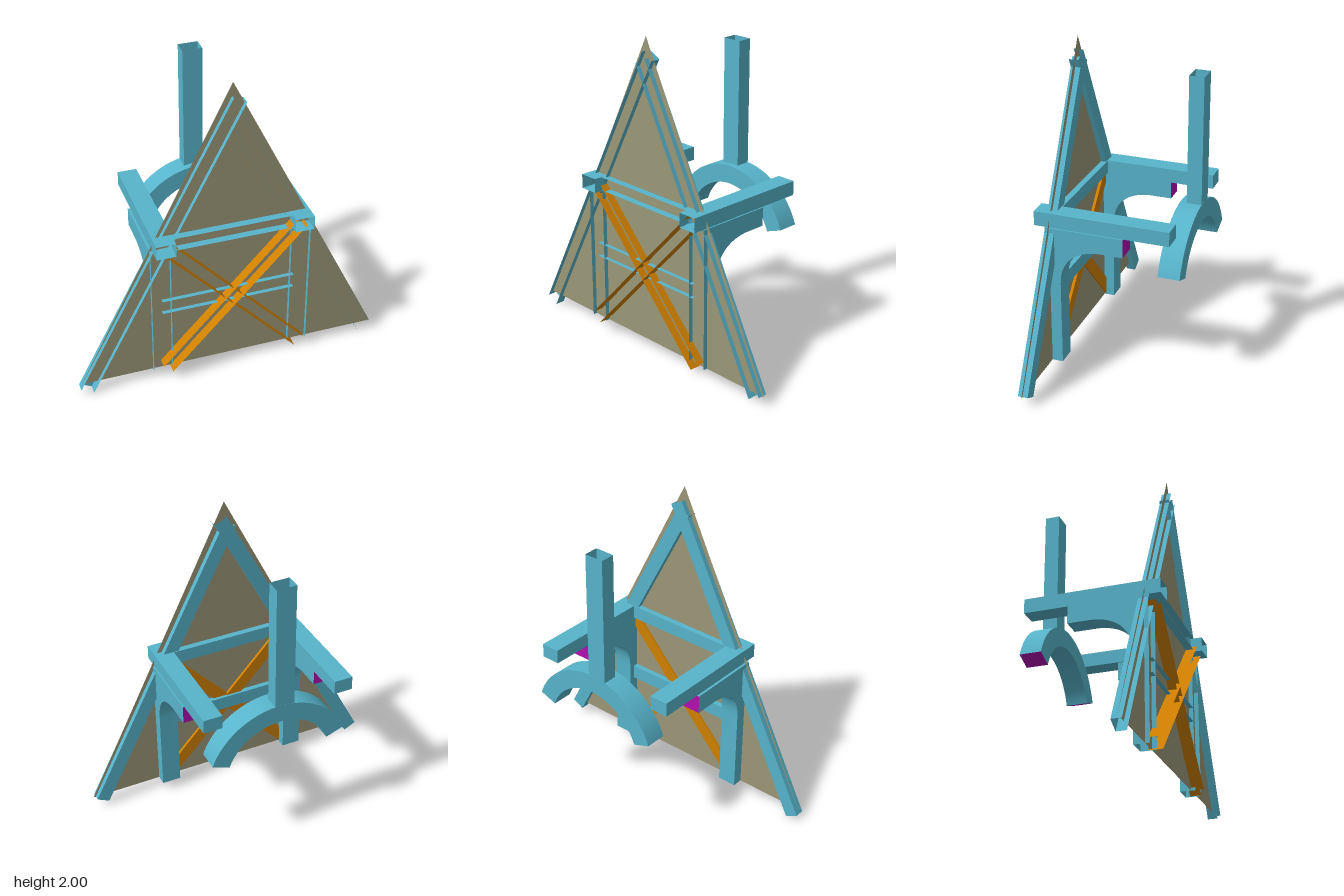
import * as THREE from 'three';
import { toCreasedNormals } from 'three/addons/utils/BufferGeometryUtils.js';

const paint = (color) => new THREE.MeshStandardMaterial({ color, side: THREE.DoubleSide });

// Keep only the triangles for which keep(normal, centre) is true
function filterFaces(geometry, keep) {
  const geo = geometry.index ? geometry.toNonIndexed() : geometry;
  const pos = geo.attributes.position, out = [];
  const tri = new THREE.Triangle(), n = new THREE.Vector3(), c = new THREE.Vector3();
  for (let i = 0; i < pos.count; i += 3) {
    tri.setFromAttributeAndIndices(pos, i, i + 1, i + 2);
    tri.getNormal(n);
    tri.getMidpoint(c);
    if (keep(n, c)) for (const p of [tri.a, tri.b, tri.c]) out.push(p.x, p.y, p.z);
  }
  const result = new THREE.BufferGeometry();
  result.setAttribute('position', new THREE.Float32BufferAttribute(out, 3));
  return toCreasedNormals(result, 0.5);
}

export function createModel() {
  const model = new THREE.Group();
  const timber = paint(0x57b4cb), orange = paint(0xd08000);
  const purple = paint(0xb010b0), cloth = paint(0x9a9778);

  function add(name, geo, material) {
    const mesh = new THREE.Mesh(geo, material);
    mesh.name = name;
    model.add(mesh);
    return mesh;
  }

  // Hollow timber in the gable plane from a to b, open at the front and both ends
  function gableTimber(name, material, a, b, width, z0, z1) {
    const dx = b[0] - a[0], dy = b[1] - a[1];
    const box = new THREE.BoxGeometry(width, Math.hypot(dx, dy), z1 - z0);
    const mesh = add(name, filterFaces(box, (n) => n.z < 0.5 && Math.abs(n.y) < 0.5), material);
    mesh.position.set((a[0] + b[0]) / 2, (a[1] + b[1]) / 2, (z0 + z1) / 2);
    mesh.rotation.z = Math.atan2(-dx, dy);
  }

  // Thin triangular gable sheet, standing inside the timbers
  const gable = new THREE.Shape([
    new THREE.Vector2(-0.96, 0.07), new THREE.Vector2(0.96, 0.07), new THREE.Vector2(0, 2)]);
  add('gableSheet', new THREE.ShapeGeometry(gable), cloth).position.z = 0.353;

  // Rafters crossing at the ridge, tie beam, lower rail and cross braces
  gableTimber('rightRafter', timber, [-0.932, 0.025], [0.035, 1.893], 0.088, 0.32, 0.382);
  gableTimber('leftRafter', timber, [0.905, 0.052], [-0.022, 1.855], 0.088, 0.32, 0.382);
  gableTimber('tieBeam', timber, [-0.45, 1.017], [0.435, 1.017], 0.085, 0.315, 0.4);
  gableTimber('lowerRail', timber, [-0.44, 0.552], [0.4, 0.552], 0.09, 0.32, 0.38);
  gableTimber('fallingBrace', orange, [-0.405, 0.985], [0.445, 0.075], 0.08, 0.335, 0.405);
  gableTimber('risingBrace', orange, [-0.425, 0.095], [0.43, 1.01], 0.08, 0.34, 0.42);

  // Post and curved bracket as one profile: shape x is depth, shape y is height
  const profile = new THREE.Shape();
  profile.moveTo(0.38, 0.07);
  profile.lineTo(0.38, 0.97);
  profile.lineTo(-0.11, 0.97);
  profile.lineTo(-0.11, 0.853);
  profile.lineTo(0.04, 0.853);
  profile.bezierCurveTo(0.18, 0.845, 0.285, 0.77, 0.285, 0.61);
  profile.lineTo(0.285, 0.07);
  profile.closePath();

  for (const [side, postX, beamX] of [['right', -0.445, -0.43], ['left', 0.438, 0.43]]) {
    const width = 0.122;
    const post = new THREE.ExtrudeGeometry(profile, { depth: width, bevelEnabled: false, curveSegments: 16 });
    post.rotateY(-Math.PI / 2); // depth becomes z, thickness becomes -x
    post.translate(postX + width / 2, 0, 0);
    // Open at the front, the foot and the bracket end
    const open = (n, c) => n.z > 0.9 || (n.y < -0.9 && c.y < 0.1) || (n.z < -0.9 && c.z < -0.1);
    add(side + 'PostBracket', filterFaces(post, (n, c) => !open(n, c)), timber);
    const cap = add(side + 'BracketEnd', new THREE.PlaneGeometry(width, 0.117), purple);
    cap.rotation.y = Math.PI;
    cap.position.set(postX, 0.9115, -0.11);

    // Beam running back from the gable, open at its front end
    const beam = filterFaces(new THREE.BoxGeometry(0.12, 0.09, 0.84), (n) => n.z < 0.5);
    add(side + 'Beam', beam, timber).position.set(beamX, 1.015, 0.03);
  }

  // Rear arch with coloured ends
  const outer = 0.462, inner = 0.345, start = Math.PI / 9, end = Math.PI - start;
  const centreX = 0.03, centreY = 0.592, depth = 0.135, back = -0.447;
  const arch = new THREE.Shape();
  arch.absarc(0, 0, outer, start, end, false);
  arch.absarc(0, 0, inner, end, start, true);
  arch.closePath();
  const archGeo = new THREE.ExtrudeGeometry(arch, { depth, bevelEnabled: false, curveSegments: 20 });
  const isEnd = (n, c) => Math.abs(n.z) < 0.5 && n.y < -0.8 && c.y < 0.17 && Math.abs(c.x) > 0.34;
  add('rearArch', filterFaces(archGeo, (n, c) => !isEnd(n, c)), timber).position.set(centreX, centreY, back);
  for (const angle of [start, end]) {
    const r = (outer + inner) / 2;
    const cap = new THREE.PlaneGeometry(outer - inner, depth);
    cap.rotateX(angle === start ? Math.PI / 2 : -Math.PI / 2);
    cap.rotateZ(angle);
    add('archEnd', cap, purple).position.set(
      centreX + r * Math.cos(angle), centreY + r * Math.sin(angle), back + depth / 2);
  }

  // King post rising from the arch, open at the top
  const king = filterFaces(new THREE.BoxGeometry(0.125, 0.85, 0.092), (n) => Math.abs(n.y) < 0.5);
  add('kingPost', king, timber).position.set(-0.005, 1.427, -0.4);

  return model;
}
